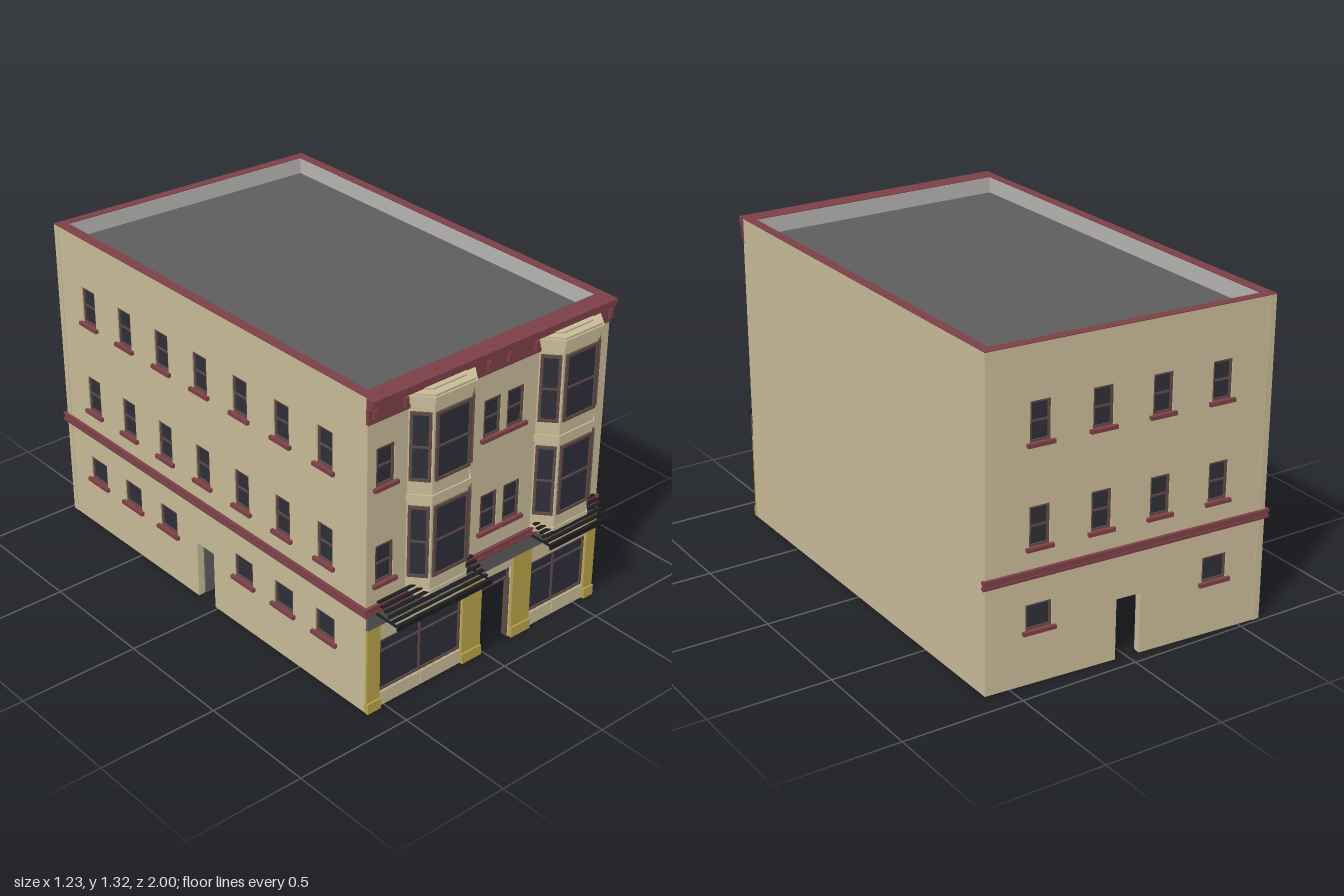
import * as THREE from 'three';

const mat = (name, color, side = THREE.FrontSide) => {
  const m = new THREE.MeshStandardMaterial({ color, side });
  m.name = name;
  return m;
};
const M = {
  wall: mat('cream wall', 0xc9bb98),
  red: mat('dark red trim', 0x7c4047),
  grey: mat('roof grey', 0x5d5d5d),
  light: mat('light grey interior', 0xb7b5b3, THREE.DoubleSide),
  glass: mat('dark glass', 0x2e2e38),
  frame: mat('brown frame', 0x604a45),
  gold: mat('mustard pilaster', 0xb9a44a),
  black: mat('black slats', 0x1d1d21),
};

// Footprint corners as [x, z]
const FL = [-0.587, 0.87], FR = [0.6, 0.87], BR = [0.6, -0.905], BL = [-0.6, -0.985];
const TOP = 1.317, ROOF = 1.25, T = 0.03;

function add(parent, name, geo, material) {
  const m = new THREE.Mesh(geo, material);
  m.name = name;
  parent.add(m);
  return m;
}
function box(parent, name, material, x0, x1, y0, y1, z0, z1) {
  const m = add(parent, name, new THREE.BoxGeometry(x1 - x0, y1 - y0, z1 - z0), material);
  m.position.set((x0 + x1) / 2, (y0 + y1) / 2, (z0 + z1) / 2);
  return m;
}
const poly = (pts) => new THREE.Shape(pts.map(([x, y]) => new THREE.Vector2(x, y)));
const rect = (x0, x1, y0, y1) => [[x0, y0], [x1, y0], [x1, y1], [x0, y1]];
const extrude = (shape, depth) => new THREE.ExtrudeGeometry(shape, { depth, bevelEnabled: false });

// Horizontal slab from an [x, z] outline
function slab(parent, name, material, pts, y0, y1, hole) {
  const s = poly(pts.map(([x, z]) => [x, -z]));
  if (hole) s.holes.push(poly(hole.map(([x, z]) => [x, -z])));
  const m = add(parent, name, extrude(s, y1 - y0).rotateX(-Math.PI / 2), material);
  m.position.y = y0;
}

// Local frame on a vertical face: x runs from p to q, y is up, z points outward
function face(parent, name, p, q) {
  const g = new THREE.Group();
  g.name = name;
  g.position.set(p[0], 0, p[1]);
  g.rotation.y = Math.atan2(p[1] - q[1], q[0] - p[0]);
  g.userData.len = Math.hypot(q[0] - p[0], q[1] - p[1]);
  parent.add(g);
  return g;
}

// Framed pane with horizontal bars, vertical bars and an optional sill
function pane(g, [u0, u1, v0, v1], z, { h = [], v = [], sill = false, w = 0.009 } = {}) {
  const ring = poly(rect(u0, u1, v0, v1));
  ring.holes.push(poly(rect(u0 + w, u1 - w, v0 + w, v1 - w)));
  add(g, 'windowFrame', extrude(ring, 0.009), M.frame).position.z = z;
  box(g, 'windowGlass', M.glass, u0 + w / 2, u1 - w / 2, v0 + w / 2, v1 - w / 2, z - 0.004, z + 0.003);
  for (const y of h) box(g, 'windowBar', M.frame, u0, u1, y - 0.004, y + 0.004, z, z + 0.007);
  for (const x of v) box(g, 'windowMullion', M.frame, x - 0.004, x + 0.004, v0, v1, z, z + 0.008);
  if (sill) box(g, 'windowSill', M.red, u0 - 0.014, u1 + 0.014, v0 - 0.013, v0 + 0.002, -0.015, 0.014);
}

// Wall with window holes, one door notch and an inner lining
function wall(parent, name, p, q, holes = [], door) {
  const g = face(parent, name, p, q), L = g.userData.len;
  const outline = (a, b, top) => {
    const pts = [[a, 0]];
    if (door) pts.push([door[0], 0], [door[0], door[2]], [door[1], door[2]], [door[1], 0]);
    return poly([...pts, [b, 0], [b, top], [a, top]]);
  };
  const s = outline(0, L, TOP);
  holes.forEach((r) => s.holes.push(poly(rect(...r))));
  add(g, 'wallShell', extrude(s, T), M.wall).position.z = -T;
  add(g, 'interiorLining', new THREE.ShapeGeometry(outline(T, L - T, ROOF)), M.light).position.z = -T - 0.002;
  return g;
}
function band(g, L) {
  box(g, 'stringCourse', M.red, -0.009, L + 0.003, 0.43, 0.465, -0.005, 0.009);
  for (const y of [0.43, 0.454]) box(g, 'stringCourseLip', M.red, -0.013, L + 0.004, y, y + 0.011, -0.005, 0.013);
}
const sash = (c, y0, y1, w = 0.084) => [c - w / 2, c + w / 2, y0, y1];
const UPPER = [[0.55, 0.708], [0.95, 1.106]];

// Side and back walls: two storeys of sash windows above small ground windows and a door
function plainFacade(parent, name, p, q, cols, groundCols, door) {
  const up = UPPER.flatMap(([a, b]) => cols.map((c) => sash(c, a, b)));
  const low = groundCols.map((c) => sash(c, 0.22, 0.325, 0.108));
  const g = wall(parent, name, p, q, [...up, ...low], door);
  up.forEach((r) => pane(g, r, -0.014, { h: [(r[2] + r[3]) / 2], sill: true }));
  low.forEach((r) => pane(g, r, -0.014, { sill: true }));
  box(g, 'openDoor', M.grey, door[0], door[0] + 0.008, 0.005, door[2] - 0.005, -T - 0.1, -T);
  band(g, g.userData.len);
}

function bay(parent, cx) {
  const g = new THREE.Group();
  g.name = 'bayWindow';
  g.position.x = cx;
  parent.add(g);
  const outline = (o) => [[-0.148 - o, 0.865], [-0.148 - o, 0.87], [-0.089 - o * 0.6, 0.937 + o],
    [0.089 + o * 0.6, 0.937 + o], [0.148 + o, 0.87], [0.148 + o, 0.865]];
  // Stacked layers: corbel, body, belt and flared cap [y0, y1, offset]
  const layers = [[0.425, 0.447, -0.02], [0.447, 0.47, 0.004], [0.47, 1.25, 0], [0.84, 0.87, 0.006],
    [1.215, 1.235, 0.004], [1.235, 1.252, 0.009], [1.252, 1.27, 0.016], [1.27, 1.279, 0.01], [1.279, 1.285, -0.02]];
  for (const [a, b, o] of layers) slab(g, 'bayBody', M.wall, outline(o), a, b);
  const pts = outline(0);
  for (let i = 1; i < 4; i++) {
    const f = face(g, 'bayFace', pts[i], pts[i + 1]), L = f.userData.len;
    for (const [a, b, bar] of [[0.527, 0.824, 0.677], [0.928, 1.204, 1.065]])
      pane(f, [0.006, L - 0.006, a, b], 0.002, { h: [bar], w: 0.011 });
  }
}

// Sloping slatted canopy
function canopy(parent, x0, x1, zf) {
  const g = new THREE.Group();
  g.name = 'slattedCanopy';
  parent.add(g);
  const n = 6;
  for (let i = 0; i < n; i++) {
    const z = 0.885 + (i / n) * (zf - 0.885), y = 0.485 - 0.011 * i;
    box(g, 'canopySlat', M.black, x0, x1, y - 0.003, y + 0.003, z, z + 0.014);
  }
  box(g, 'canopyFascia', M.black, x0, x1, 0.415, 0.437, zf - 0.009, zf);
  for (const x of [x0, x1 - 0.008]) box(g, 'canopyArm', M.black, x, x + 0.008, 0.427, 0.433, 0.87, zf);
}

export function createModel() {
  const root = new THREE.Group();
  root.name = 'cornerShopBuilding';

  // Front wall (u is x + 0.587)
  const U = 0.587;
  const smalls = UPPER.flatMap(([a, b]) => [-0.504, 0.007, 0.124].map((x) => sash(x + U, a, b)));
  const shops = [[-0.525, -0.113, -0.318], [0.246, 0.55, 0.38]];
  const shopRects = shops.map(([a, b]) => [a + U, b + U, 0.063, 0.292]);
  const door = [0.575, 0.732, 0.325];
  const front = wall(root, 'frontWall', FL, FR, [...smalls, ...shopRects], door);
  smalls.forEach((r) => pane(front, r, -0.012, { h: [(r[2] + r[3]) / 2], sill: true }));
  shops.forEach(([a, b, m], i) => {
    pane(front, shopRects[i], -0.012, { h: [0.237], v: [m + U] });
    for (const [l, r] of [[a, m], [m, b]])
      box(front, 'shopPanel', M.wall, l + U + 0.003, r + U - 0.003, 0, 0.06, -0.005, 0.004);
  });

  // Front entrance: transom, jambs and a door swung inward
  pane(front, [door[0], door[1], 0.268, 0.325], -0.02);
  for (const u of [door[0], door[1] - 0.006]) box(front, 'doorJamb', M.frame, u, u + 0.006, 0, 0.27, -0.03, -0.005);
  box(front, 'openFrontDoor', M.red, door[0], door[0] + 0.009, 0.005, 0.265, -T - 0.145, -T);
  box(front, 'frontDoorGlass', M.glass, door[0] - 0.001, door[0] + 0.01, 0.12, 0.235, -T - 0.12, -T - 0.025);

  // Pilasters with plinths, sign band and string course
  for (const [a, b] of [[-0.587, -0.525], [-0.113, -0.016], [0.148, 0.246], [0.55, 0.6]]) {
    box(root, 'pilaster', M.gold, a, b, 0, 0.37, 0.865, 0.88);
    box(root, 'pilasterBase', M.gold, a - 0.001, b + 0.001, 0, 0.045, 0.865, 0.887);
  }
  box(root, 'signBand', M.grey, -0.587, 0.6, 0.37, 0.432, 0.865, 0.882);
  band(front, front.userData.len - 0.003);

  // Cornice moulding and brackets
  const profile = [[0.865, 1.215], [0.877, 1.215], [0.877, 1.268], [0.886, 1.278], [0.895, 1.282],
    [0.895, 1.295], [0.904, 1.3], [0.904, 1.314], [0.865, 1.314]];
  const cornice = extrude(poly(profile.map(([z, y]) => [-z, y]).reverse()), 1.19).rotateY(Math.PI / 2);
  add(root, 'cornice', cornice, M.red).position.x = -0.59;
  for (const x of [-0.565, -0.425, -0.135, -0.033, 0.07, 0.205, 0.59])
    box(root, 'corniceBracket', M.red, x - 0.008, x + 0.008, 1.235, 1.272, 0.87, 0.89);

  bay(root, -0.2535);
  bay(root, 0.382);
  canopy(root, -0.55, -0.087, 1.0);
  canopy(root, 0.233, 0.56, 0.985);

  // Other walls
  wall(root, 'blankSideWall', FR, BR);
  plainFacade(root, 'backWall', BR, BL, [0.22, 0.475, 0.725, 0.98], [0.22, 0.98], [0.55, 0.655, 0.25]);
  const cols = [0, 1, 2, 3, 4, 5, 6].map((i) => 0.21 + 0.237 * i);
  plainFacade(root, 'windowedSideWall', BL, FL, cols, cols.filter((_, i) => i !== 3), [0.865, 0.97, 0.25]);

  // Roof, parapet lining and coping
  const outer = [FL, FR, BR, BL];
  const inset = [[-0.55, 0.825], [0.562, 0.825], [0.562, -0.868], [-0.556, -0.947]];
  const mid = [[-0.575, 0.85], [0.585, 0.85], [0.585, -0.888], [-0.585, -0.968]];
  slab(root, 'roof', M.grey, mid, ROOF - 0.02, ROOF);
  slab(root, 'parapetLining', M.light, mid, ROOF - 0.01, TOP - 0.001, inset);
  slab(root, 'coping', M.red, outer, TOP, TOP + 0.003, inset);
  slab(root, 'corniceCap', M.red, [[-0.59, 0.904], [0.6, 0.904], [0.6, 0.87], [-0.59, 0.87]], 1.313, TOP + 0.002);
  return root;
}
